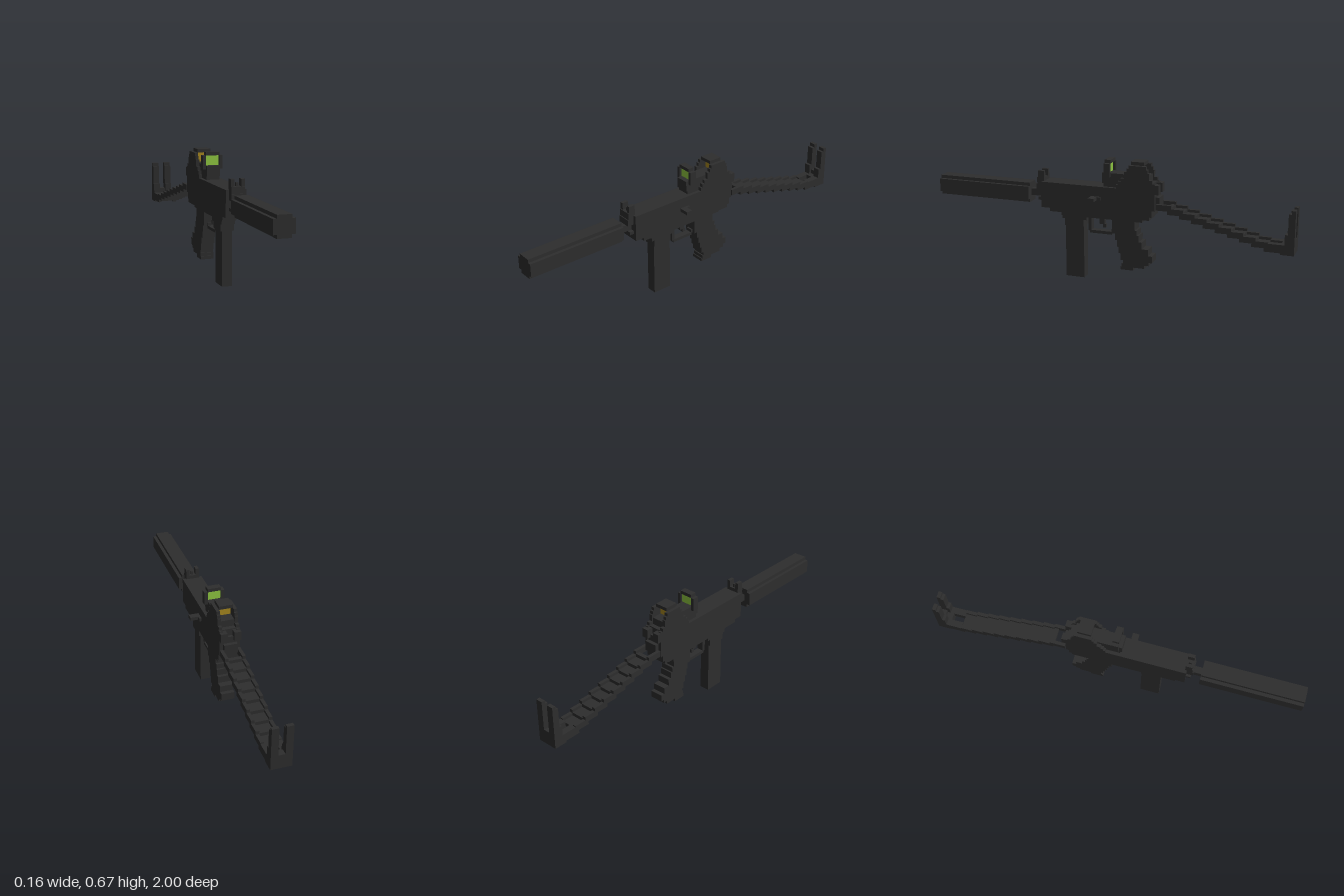
import * as THREE from 'three';

const V = 0.0182;      // one block
const XC = -0.0275;    // centre plane of the body

export function createModel() {
  const model = new THREE.Group();
  model.name = 'blockSubmachineGun';
  const mat = (name, color) => {
    const m = new THREE.MeshStandardMaterial({ color });
    m.name = name;
    return m;
  };
  const dark = mat('gunmetal', 0x2d2d2d);
  const green = mat('greenGlass', 0x8dc440);
  const amber = mat('amberGlass', 0xa5861f);

  const group = (name) => {
    const g = new THREE.Group();
    g.name = name;
    model.add(g);
    return g;
  };
  // box given by x, y and z ranges
  const span = (parent, name, x0, x1, y0, y1, z0, z1, m = dark) => {
    const mesh = new THREE.Mesh(new THREE.BoxGeometry(x1 - x0, y1 - y0, Math.abs(z1 - z0)), m);
    mesh.position.set((x0 + x1) / 2, (y0 + y1) / 2, (z0 + z1) / 2);
    mesh.name = name;
    parent.add(mesh);
    return mesh;
  };
  // centred box, width in blocks
  const mid = (parent, name, w, y0, y1, z0, z1, m) =>
    span(parent, name, XC - w * V / 2, XC + w * V / 2, y0, y1, z0, z1, m);
  // mirrored pair between two block distances from the centre plane
  const pair = (parent, name, a, b, y0, y1, z0, z1) => {
    span(parent, name + 'Left', XC + a * V, XC + b * V, y0, y1, z0, z1);
    span(parent, name + 'Right', XC - b * V, XC - a * V, y0, y1, z0, z1);
  };

  // suppressor and barrel neck
  const barrel = group('barrel');
  mid(barrel, 'suppressorCore', 4, 0.402, 0.51, 0.455, 1);
  mid(barrel, 'suppressorSides', 6, 0.42, 0.492, 0.455, 1);
  mid(barrel, 'barrelNeck', 2, 0.438, 0.475, 0.37, 0.46);
  mid(barrel, 'barrelNut', 4, 0.42, 0.437, 0.37, 0.405);
  mid(barrel, 'barrelCollar', 4, 0.475, 0.51, 0.37, 0.415);

  // receiver with stepped underside and rear
  const receiver = group('receiver');
  mid(receiver, 'receiverBody', 6, 0.385, 0.527, -0.25, 0.38);
  mid(receiver, 'lowerStep', 6, 0.367, 0.386, -0.235, 0.33);
  mid(receiver, 'lowerRail', 4, 0.347, 0.368, -0.19, 0.27);
  mid(receiver, 'rearBlock', 6, 0.42, 0.527, -0.265, -0.25);
  pair(receiver, 'rearLug', 1, 3, 0.51, 0.56, -0.285, -0.24);
  mid(receiver, 'rearHinge', 4, 0.438, 0.492, -0.285, -0.26);

  // front sight: two ears and a pin
  const frontSight = group('frontSight');
  mid(frontSight, 'frontSightBase', 4, 0.51, 0.546, 0.37, 0.41);
  pair(frontSight, 'frontSightEar', 1, 2, 0.54, 0.583, 0.37, 0.405);
  mid(frontSight, 'frontSightPin', 0.6, 0.54, 0.565, 0.38, 0.395);

  // charging handle on the left side
  const handle = group('chargingHandle');
  span(handle, 'handleBase', 0.02, 0.04, 0.455, 0.473, 0.035, 0.09);
  span(handle, 'handleKnob', 0.03, 0.082, 0.455, 0.473, 0.055, 0.09);

  // front optic with green lens
  const optic = group('frontOptic');
  mid(optic, 'opticFoot', 4, 0.52, 0.548, -0.1, 0.025);
  mid(optic, 'opticBase', 4, 0.546, 0.602, -0.11, 0.035);
  pair(optic, 'opticFrameSide', 2, 3, 0.583, 0.655, -0.015, 0.02);
  mid(optic, 'opticFrameTop', 4, 0.655, 0.673, -0.015, 0.02);
  mid(optic, 'greenLens', 4, 0.602, 0.655, -0.002, 0.007, green);

  // rear optic housing: stepped cheeks, core and amber lens
  const housing = group('rearOptic');
  const cheeks = [
    [0.527, 0.546, -0.05, -0.27], [0.546, 0.565, -0.06, -0.262],
    [0.565, 0.583, -0.075, -0.25], [0.583, 0.62, -0.095, -0.232],
    [0.62, 0.638, -0.11, -0.225], [0.638, 0.655, -0.12, -0.215],
  ];
  cheeks.forEach(([y0, y1, z0, z1]) => pair(housing, 'housingCheek', 2, 3, y0, y1, z1, z0));
  mid(housing, 'housingCore', 4, 0.527, 0.565, -0.25, -0.08);
  mid(housing, 'housingCoreUpper', 4, 0.565, 0.602, -0.225, -0.1);
  mid(housing, 'housingTop', 4, 0.655, 0.673, -0.2, -0.127);
  mid(housing, 'amberLens', 4, 0.602, 0.655, -0.168, -0.159, amber);

  // magazine and its well
  const magazine = group('magazine');
  mid(magazine, 'magazineBody', 3, 0, 0.3, 0.142, 0.248);
  mid(magazine, 'magazineWell', 4, 0.292, 0.35, 0.142, 0.25);
  mid(magazine, 'magazineWellLip', 4, 0.33, 0.37, 0.125, 0.265);

  // trigger and guard
  const trigger = group('triggerGroup');
  mid(trigger, 'guardBottom', 2, 0.258, 0.274, -0.015, 0.11);
  mid(trigger, 'guardFront', 2, 0.27, 0.35, 0.103, 0.12);
  mid(trigger, 'guardRear', 2, 0.27, 0.29, -0.035, -0.012);
  mid(trigger, 'triggerUpper', 1, 0.31, 0.35, 0.03, 0.058);
  mid(trigger, 'triggerLower', 1, 0.292, 0.312, 0.022, 0.04);

  // raked pistol grip in slices
  const grip = group('grip');
  [
    [0.3, 0.352, -0.022, -0.15], [0.272, 0.3, -0.022, -0.162],
    [0.237, 0.272, -0.04, -0.172], [0.2, 0.237, -0.05, -0.19],
    [0.165, 0.2, -0.06, -0.225], [0.128, 0.165, -0.072, -0.248],
    [0.11, 0.128, -0.085, -0.23], [0.092, 0.11, -0.078, -0.205],
    [0.075, 0.092, -0.072, -0.142],
  ].forEach(([y0, y1, z0, z1]) => mid(grip, 'gripSlice', 4, y0, y1, z1, z0));

  // stepped skeleton stock: side rails with a sunken centre panel
  const stock = group('stock');
  const n = 10, z0 = -0.27, dz = 0.064;
  for (let i = 0; i < n; i++) {
    const top = 0.459 - i * V * 0.98;
    const za = z0 - i * dz, zb = za - dz - 0.02;
    pair(stock, 'stockRail', 2, 3, top - 0.032, top, zb, za);
    if (i < n - 1) mid(stock, 'stockPanel', 4, top - 0.032, top - 0.014, zb, i === 0 ? -0.33 : za);
  }
  pair(stock, 'stockEnd', 1, 3, 0.275, 0.31, -0.98, -0.865);

  // forked butt plate
  const butt = group('buttPlate');
  mid(butt, 'buttBase', 6, 0.258, 0.31, -1, -0.93);
  mid(butt, 'buttBridge', 6, 0.305, 0.335, -1, -0.965);
  pair(butt, 'buttProng', 1, 3, 0.33, 0.492, -1, -0.98);
  pair(butt, 'buttProngStep', 1, 3, 0.33, 0.473, -0.985, -0.965);
  pair(butt, 'buttProngFoot', 1, 3, 0.305, 0.365, -0.97, -0.95);

  return model;
}
